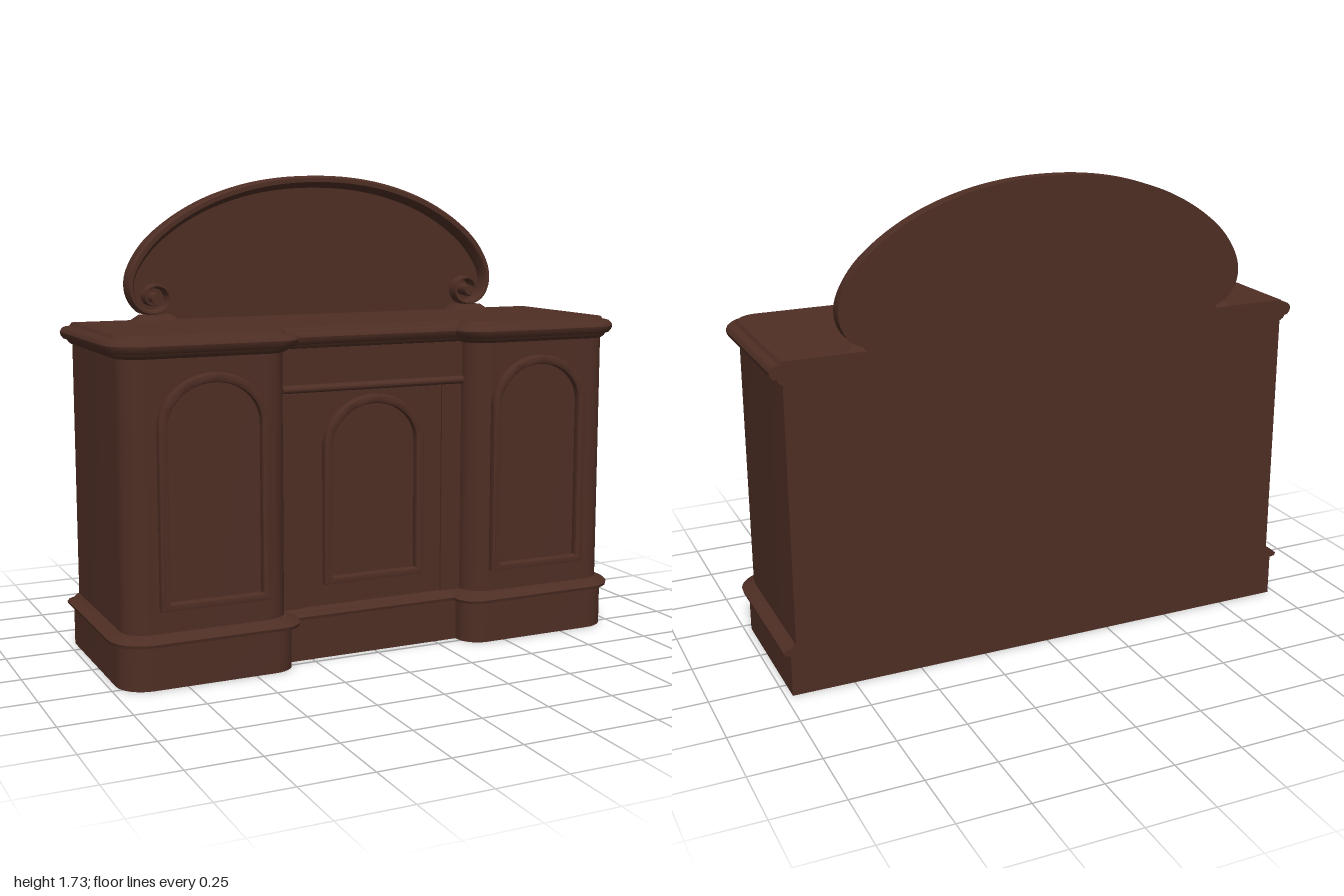
import * as THREE from 'three';
import { toCreasedNormals } from 'three/addons/utils/BufferGeometryUtils.js';

const BACK = -0.33;
const wood = new THREE.MeshStandardMaterial({ color: 0x4e2e24 });
wood.name = 'dark mahogany';

function add(parent, name, geometry, x = 0, y = 0, z = 0) {
  const mesh = new THREE.Mesh(geometry, wood);
  mesh.name = name;
  mesh.position.set(x, y, z);
  parent.add(mesh);
  return mesh;
}

// Skin closed rings of [x, y, z] points; horizontal rings may be capped.
function loft(rings, capped) {
  const n = rings[0].length, index = [];
  for (let i = 0; i < rings.length - 1; i++) {
    for (let j = 0; j < n; j++) {
      const a = i * n + j, b = i * n + (j + 1) % n;
      index.push(a, b, b + n, a, b + n, a + n);
    }
  }
  if (capped) {
    const flat = r => r.map(p => new THREE.Vector2(p[0], -p[2]));
    const last = (rings.length - 1) * n;
    for (const [a, b, c] of THREE.ShapeUtils.triangulateShape(flat(rings[0]), [])) index.push(a, c, b);
    for (const [a, b, c] of THREE.ShapeUtils.triangulateShape(flat(rings[rings.length - 1]), [])) {
      index.push(last + a, last + b, last + c);
    }
  }
  const g = new THREE.BufferGeometry();
  g.setAttribute('position', new THREE.Float32BufferAttribute(rings.flat(2), 3));
  g.setIndex(index);
  return toCreasedNormals(g, 0.6);
}

// Breakfront plan grown outwards by d, with rounded wing corners and a flat back.
function footprint(d, y) {
  const w = 0.955 + d, f = 0.29 + d, n = 0.36 - d, c = 0.2 + d, r = 0.085 + d, ri = 0.085;
  const half = [[-w, y, BACK]];
  const arc = (cx, cz, rad, from, to) => {
    for (let i = 0; i <= 8; i++) {
      const a = from + (to - from) * i / 8;
      half.push([cx + rad * Math.cos(a), y, cz + rad * Math.sin(a)]);
    }
  };
  arc(-w + r, f - r, r, Math.PI, Math.PI / 2);
  arc(-n - ri, f - ri, ri, Math.PI / 2, 0);
  half.push([-n, y, c]);
  return half.concat(half.map(([px, py, pz]) => [-px, py, pz]).reverse());
}

// Stack of [y, outward offset] levels following the plan.
const stack = levels => loft(levels.map(([y, d]) => footprint(d, y)), true);

function archPath(path, halfWidth, bottom, spring, top) {
  path.moveTo(-halfWidth, bottom);
  path.lineTo(halfWidth, bottom);
  path.lineTo(halfWidth, spring);
  path.absellipse(0, spring, halfWidth, top - spring, 0, Math.PI, false);
  path.lineTo(-halfWidth, bottom);
  return path;
}

// Raised round-headed door moulding.
function archFrame(bottom, top) {
  const spring = top - 0.18, b = 0.007;
  const shape = archPath(new THREE.Shape(), 0.2 - b, bottom + b, spring, top - b);
  shape.holes.push(archPath(new THREE.Path(), 0.167 + b, bottom + 0.028 - b, spring, top - 0.033 + b));
  const g = new THREE.ExtrudeGeometry(shape, {
    depth: 0.018, bevelEnabled: true, bevelSize: b, bevelThickness: 0.009, bevelSegments: 2, curveSegments: 20,
  });
  return toCreasedNormals(g, 0.6);
}

export function createModel() {
  const model = new THREE.Group();
  model.name = 'sideboard';

  // Carcass, plinth and moulded top
  add(model, 'plinth', stack([[0, 0.02], [0.157, 0.02]]));
  add(model, 'plinthMoulding', stack([
    [0.153, 0.025], [0.156, 0.042], [0.167, 0.045], [0.175, 0.036], [0.18, 0.018], [0.19, 0.006],
  ]));
  add(model, 'cabinetBody', stack([[0.185, 0], [1.14, 0]]));
  add(model, 'moldedTop', stack([
    [1.122, 0.004], [1.13, 0.015], [1.14, 0.02], [1.143, 0.033], [1.155, 0.042], [1.167, 0.045],
    [1.178, 0.04], [1.186, 0.03], [1.188, 0.01], [1.2, 0.001],
  ]));

  // Doors on the wings and in the centre
  for (const s of [-1, 1]) add(model, 'wingDoorFrame', archFrame(0.268, 1.07), s * 0.64, 0, 0.29);
  add(model, 'centreDoorFrame', archFrame(0.268, 0.95), 0, 0, 0.2);

  // Centre stiles, drawer front and ledge below it
  for (const s of [-1, 1]) {
    add(model, 'centreStile', new THREE.BoxGeometry(0.08, 0.78, 0.02), s * 0.32, 0.575, 0.198);
  }
  add(model, 'drawerFront', new THREE.BoxGeometry(0.72, 0.13, 0.03), 0, 1.06, 0.198);
  const ledge = new THREE.Shape();
  ledge.moveTo(0, 0);
  ledge.lineTo(0.03, 0.005);
  ledge.quadraticCurveTo(0.045, 0.02, 0.025, 0.03);
  ledge.lineTo(0, 0.035);
  const ledgeGeometry = new THREE.ExtrudeGeometry(ledge, { depth: 0.72, bevelEnabled: false, curveSegments: 6 });
  ledgeGeometry.rotateY(-Math.PI / 2);
  add(model, 'drawerLedge', toCreasedNormals(ledgeGeometry, 0.6), 0.36, 0.966, 0.195);

  // Crest outline: arch sweeping down into a scroll, mirrored
  const arch = [
    [0, 1.73], [0.15, 1.722], [0.3, 1.695], [0.46, 1.64], [0.6, 1.56], [0.7, 1.47],
    [0.755, 1.37], [0.757, 1.3], [0.725, 1.242],
  ];
  const scroll = [
    [0.665, 1.219], [0.61, 1.24], [0.595, 1.285], [0.615, 1.322], [0.655, 1.334], [0.69, 1.316],
    [0.7, 1.284], [0.685, 1.258], [0.66, 1.253], [0.642, 1.266],
  ];
  const right = arch.concat(scroll);
  const path = right.slice(1).reverse().map(([x, y]) => [-x, y]).concat(right);
  const curve = new THREE.CatmullRomCurve3(path.map(([x, y]) => new THREE.Vector3(x, y, 0)), false, 'centripetal');

  // Cross-section as [inward distance, z]
  const section = [[0, BACK], [0, -0.277], [0.008, -0.266], [0.024, -0.266], [0.032, -0.275], [0.046, -0.318], [0.046, BACK]];
  const rings = [];
  const steps = 180;
  for (let i = 0; i <= steps; i++) {
    const t = i / steps;
    const p = curve.getPointAt(t), q = curve.getTangentAt(t);
    const k = THREE.MathUtils.lerp(0.38, 1, THREE.MathUtils.smoothstep(Math.min(t, 1 - t), 0.1, 0.24));
    rings.push(section.map(([o, z]) => [p.x + q.y * o * k, p.y - q.x * o * k, z]));
  }
  add(model, 'crestFrame', loft(rings, false));

  // Crest back panel, filling the arch down to the top
  const half = arch.concat([[0.69, 1.225], [0.66, 1.195]]).map(([x, y]) => [x * 0.99, y - 0.008]);
  const outline = half.slice(1).reverse().map(([x, y]) => [-x, y]).concat(half);
  const panelCurve = new THREE.SplineCurve(outline.map(([x, y]) => new THREE.Vector2(x, y)));
  const panel = new THREE.Shape(panelCurve.getPoints(80));
  add(model, 'crestPanel', new THREE.ExtrudeGeometry(panel, { depth: 0.015, bevelEnabled: false }), 0, 0, BACK);

  // Scroll eyes and feet
  for (const s of [-1, 1]) {
    const eye = new THREE.CylinderGeometry(0.02, 0.024, 0.075, 16);
    eye.rotateX(Math.PI / 2);
    add(model, 'scrollEye', eye, s * 0.655, 1.28, -0.2925);
    const foot = new THREE.CylinderGeometry(0.055, 0.085, 0.022, 4, 1);
    foot.rotateY(Math.PI / 4);
    foot.scale(1.38, 1, 0.72);
    add(model, 'scrollFoot', toCreasedNormals(foot, 0.3), s * 0.655, 1.21, -0.286);
  }
  return model;
}
